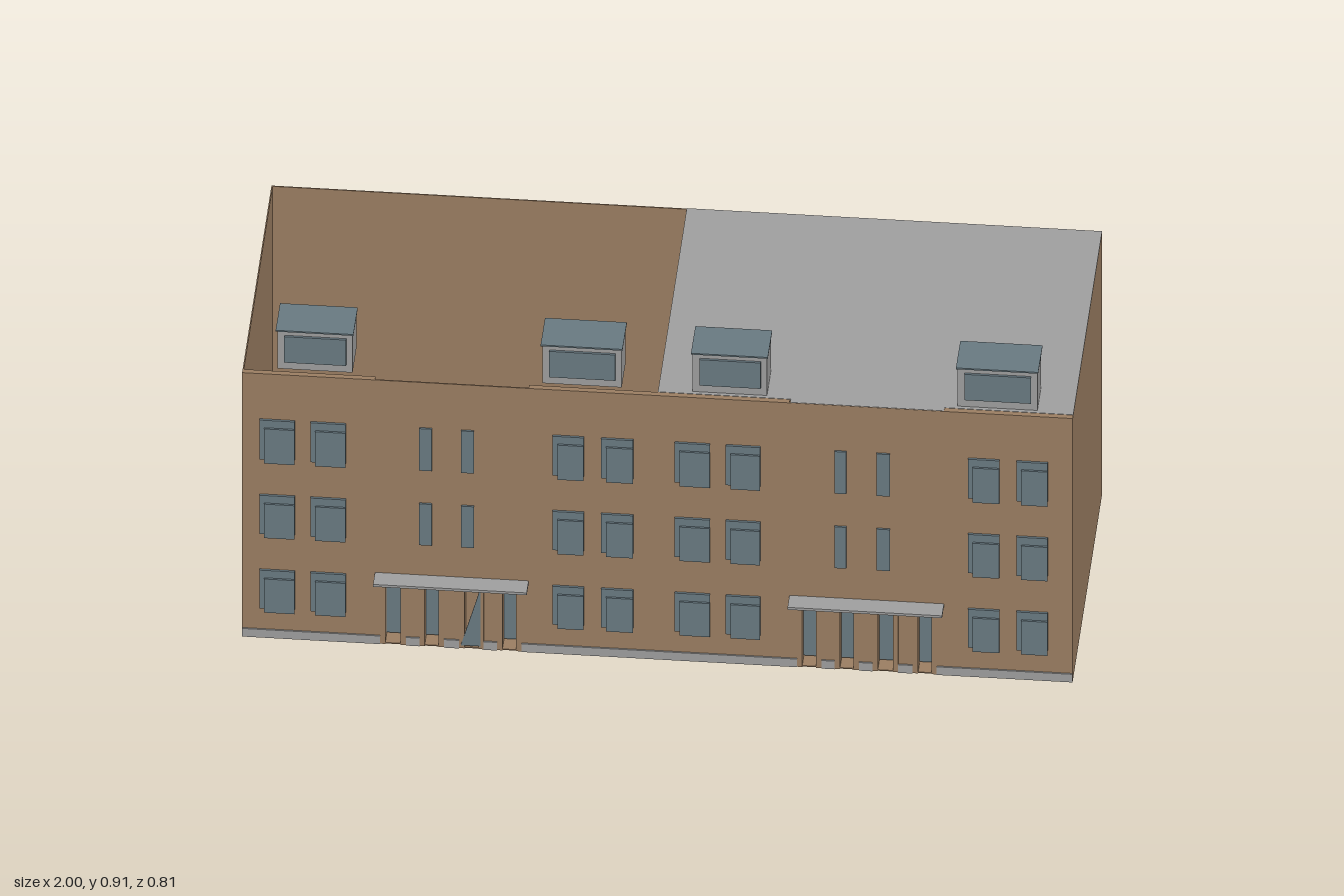
import * as THREE from 'three';

const H = 0.783, FRONT = 0.356, BACK = -0.403;

export function createModel() {
  const model = new THREE.Group();
  model.name = 'apartmentBuilding';
  const mat = (name, color) => {
    const m = new THREE.MeshStandardMaterial({ color });
    m.name = name;
    return m;
  };
  const brick = mat('brownBrick', 0x9c7f63);
  const concrete = mat('greyConcrete', 0xa0a0a0);
  const glass = mat('blueGreyGlass', 0x6a7b83);

  const add = (name, geo, material, parent = model) => {
    const m = new THREE.Mesh(geo, material);
    m.name = name;
    parent.add(m);
    return m;
  };
  // box given by its minimum and maximum corners
  const box = (name, x0, x1, y0, y1, z0, z1, material, parent) => {
    const g = new THREE.BoxGeometry(x1 - x0, y1 - y0, z1 - z0);
    g.translate((x0 + x1) / 2, (y0 + y1) / 2, (z0 + z1) / 2);
    return add(name, g, material, parent);
  };
  // upright panel with openings that reach down to the ground
  const panel = (name, x0, x1, y1, z0, z1, openings, material) => {
    const s = new THREE.Shape();
    s.moveTo(x0, 0);
    for (const [a, b, top] of openings) {
      s.lineTo(a, 0);
      s.lineTo(a, top);
      s.lineTo(b, top);
      s.lineTo(b, 0);
    }
    s.lineTo(x1, 0);
    s.lineTo(x1, y1);
    s.lineTo(x0, y1);
    const g = new THREE.ExtrudeGeometry(s, { depth: z1 - z0, bevelEnabled: false });
    g.translate(0, 0, z0);
    return add(name, g, material);
  };

  // shell: thin outer walls, party wall and ground floor
  const t = 0.003;
  box('backWall', -1, 1, 0, H, BACK, BACK + t, brick);
  box('rightWall', -1, -1 + t, 0, H, BACK, FRONT, brick);
  box('leftWall', 1 - t, 1, 0, H, BACK, FRONT, brick);
  box('partyWall', 0, t, 0, H, BACK, FRONT - 0.005, brick);
  box('groundFloor', -1, 1, 0, t, BACK, FRONT, brick);

  // only one half carries a roof; the other is open
  box('flatRoof', 0, 1, H - t, H + 0.001, BACK, 0.342, concrete);
  box('bayRoof', 0.32, 0.69, H - t, H + 0.001, 0.342, FRONT - 0.001, concrete);

  // facade, with an entrance bay in each half
  const halves = [
    { ends: [-1, -0.68, -0.31, 0],
      doors: [[-0.668, -0.605], [-0.573, -0.514], [-0.477, -0.418], [-0.386, -0.327]] },
    { ends: [0, 0.318, 0.69, 1],
      doors: [[0.336, 0.395], [0.427, 0.486], [0.518, 0.58], [0.615, 0.673]] },
  ];
  const doorTop = 0.193;
  halves.forEach(({ ends: [a, b, c, d], doors }, half) => {
    box('facadeWall', a, b, 0, H, 0.342, FRONT, brick);
    box('facadeWall', c, d, 0, H, 0.342, FRONT, brick);
    panel('entranceBay', b, c, H, FRONT - t, FRONT,
      doors.map(([p, q]) => [p, q, doorTop]), brick);
    box('canopy', b, c, 0.203, 0.21, FRONT, 0.405, concrete);

    doors.forEach(([p, q], i) => {
      // recessed frame and glazed leaf
      panel('doorFrame', p, q, doorTop, 0.316, FRONT + 0.002,
        [[p + 0.013, q - 0.013, doorTop - 0.014]], brick);
      if (half === 0 && i === 2) {
        // half-glazed door with a diagonal pane
        const s = new THREE.Shape();
        s.moveTo(p + 0.004, 0.01);
        s.lineTo(q - 0.008, 0.01);
        s.lineTo(q - 0.008, 0.18);
        s.closePath();
        const g = new THREE.ExtrudeGeometry(s, { depth: 0.003, bevelEnabled: false });
        g.translate(0, 0, FRONT + 0.001);
        add('diagonalDoorPane', g, glass);
        box('doorBack', p, q, 0, doorTop, 0.316, 0.319, brick);
      } else {
        box('doorGlass', p + 0.01, q - 0.01, 0.008, doorTop - 0.012, 0.317, 0.321, glass);
      }
    });

    // low plinth, interrupted at the doors
    const stops = [a, ...doors.flat(), d];
    for (let i = 0; i < stops.length; i += 2) {
      box('plinth', stops[i], stops[i + 1], 0, 0.024, FRONT - 0.002, FRONT + 0.004, concrete);
    }
  });

  // windows: wide columns on every floor, narrow ones on the upper floors
  const wide = [[-0.958, -0.873], [-0.835, -0.75], [-0.252, -0.177], [-0.135, -0.058],
    [0.042, 0.127], [0.165, 0.248], [0.748, 0.824], [0.865, 0.94]];
  const narrow = [[-0.573, -0.543], [-0.472, -0.441], [0.427, 0.455], [0.528, 0.56]];
  const rows = [[0.08, 0.202], [0.302, 0.425], [0.524, 0.649]];
  rows.forEach(([y0, y1], floor) => {
    for (const [a, b] of wide) {
      box('window', a, b, y0 + 0.008, y1, FRONT, 0.362, glass);
      box('windowSash', a + 0.012, b, y0, y1 - 0.022, 0.361, 0.367, glass);
    }
    if (floor > 0) {
      for (const [a, b] of narrow) box('narrowWindow', a, b, y0, y1, FRONT, 0.361, glass);
    }
  });

  // roof dormers
  for (const [a, b] of [[-0.92, -0.733], [-0.282, -0.085], [0.08, 0.265], [0.718, 0.916]]) {
    const dormer = new THREE.Group();
    dormer.name = 'dormer';
    model.add(dormer);
    box('dormerBody', a + 0.003, b - 0.003, 0.785, 0.901, 0.235, 0.334, concrete, dormer);
    box('dormerGlass', a + 0.02, b - 0.018, 0.808, 0.885, 0.334, 0.34, glass, dormer);
    const lid = box('dormerLid', a, b, 0.901, 0.905, 0.233, 0.347, glass, dormer);
    // lid rises slightly towards the front
    const pos = lid.geometry.attributes.position;
    for (let i = 0; i < pos.count; i++) {
      if (pos.getZ(i) > 0.3) pos.setY(i, pos.getY(i) + 0.003);
    }
    lid.geometry.computeVertexNormals();
  }
  return model;
}
